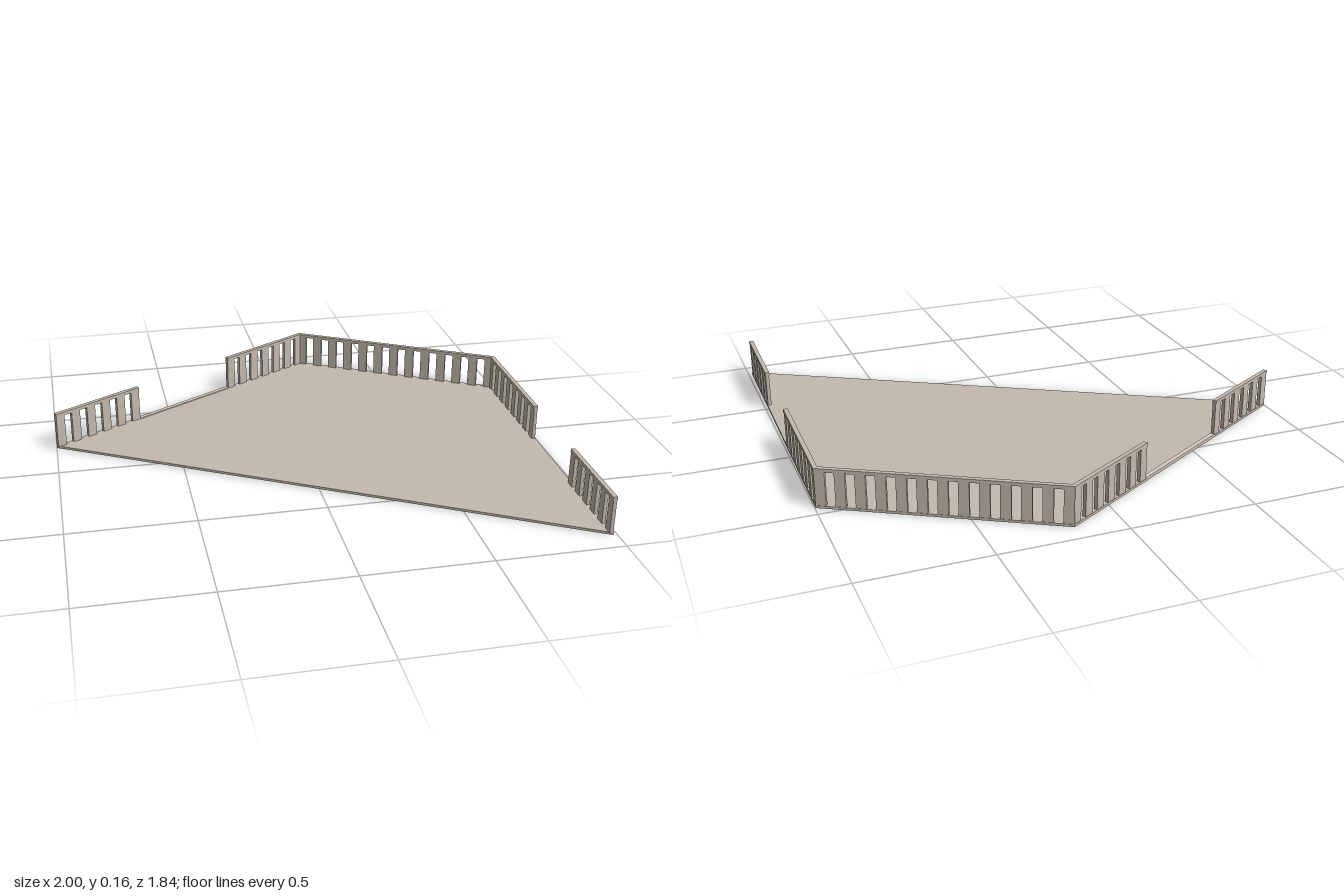
import * as THREE from 'three';

const HEIGHT = 0.16, DEPTH = 0.018, FLOOR = 0.01, RAIL = 0.014, PITCH = 0.0725, POST = 0.04;

// Corners of the trapezoid platform as [x, z]
const A = [-1, -0.23], B = [0.18, -0.92], C = [0.997, -0.45], D = [0.985, 0.917];

export function createModel() {
  const model = new THREE.Group();
  const stone = new THREE.MeshStandardMaterial({ color: 0xc3baad });
  stone.name = 'warm stone';
  const pale = new THREE.MeshStandardMaterial({ color: 0xd8cec4 });
  pale.name = 'pale stone';

  // Floor slab
  const shape = new THREE.Shape([A, B, C, D].map(([x, z]) => new THREE.Vector2(x, -z)));
  const slab = new THREE.ExtrudeGeometry(shape, { depth: FLOOR, bevelEnabled: false });
  slab.rotateX(-Math.PI / 2);
  const floor = new THREE.Mesh(slab, stone);
  floor.name = 'floor';
  model.add(floor);

  // A group lying along an edge: local x runs along it, local z points inward
  function along(p, q, from, name) {
    const dx = q[0] - p[0], dz = q[1] - p[1];
    const g = new THREE.Group();
    g.name = name;
    g.position.set(p[0] + dx * from, 0, p[1] + dz * from);
    g.rotation.y = Math.atan2(-dz, dx);
    model.add(g);
    return g;
  }

  function box(parent, name, w, h, d, x, y, z, material = stone) {
    const mesh = new THREE.Mesh(new THREE.BoxGeometry(w, h, d), material);
    mesh.name = name;
    mesh.position.set(x, y, z);
    parent.add(mesh);
  }

  // Balustrade: a top rail on evenly spaced flat posts
  function balustrade(p, q, from, to, name) {
    const g = along(p, q, from, name);
    const length = Math.hypot(q[0] - p[0], q[1] - p[1]) * (to - from);
    box(g, 'topRail', length, RAIL, DEPTH, length / 2, HEIGHT - RAIL / 2, DEPTH / 2);
    const gaps = Math.round((length - POST) / PITCH);
    const h = HEIGHT - RAIL - FLOOR;
    for (let i = 0; i <= gaps; i++) {
      const x = POST / 2 + (i / gaps) * (length - POST);
      box(g, 'post', POST, h, DEPTH * 0.8, x, FLOOR + h / 2, DEPTH / 2);
    }
  }

  balustrade(A, B, 0, 0.305, 'leftOuterBalustrade');
  balustrade(A, B, 0.668, 1, 'leftInnerBalustrade');
  balustrade(B, C, 0, 1, 'backBalustrade');
  balustrade(C, D, 0, 0.41, 'rightInnerBalustrade');
  balustrade(C, D, 0.705, 1, 'rightOuterBalustrade');

  // Thin threshold across the left opening
  const length = Math.hypot(B[0] - A[0], B[1] - A[1]) * 0.363;
  const sill = along(A, B, 0.305, 'threshold');
  box(sill, 'thresholdPlate', length, 0.004, DEPTH, length / 2, FLOOR + 0.002, DEPTH / 2, pale);

  return model;
}
